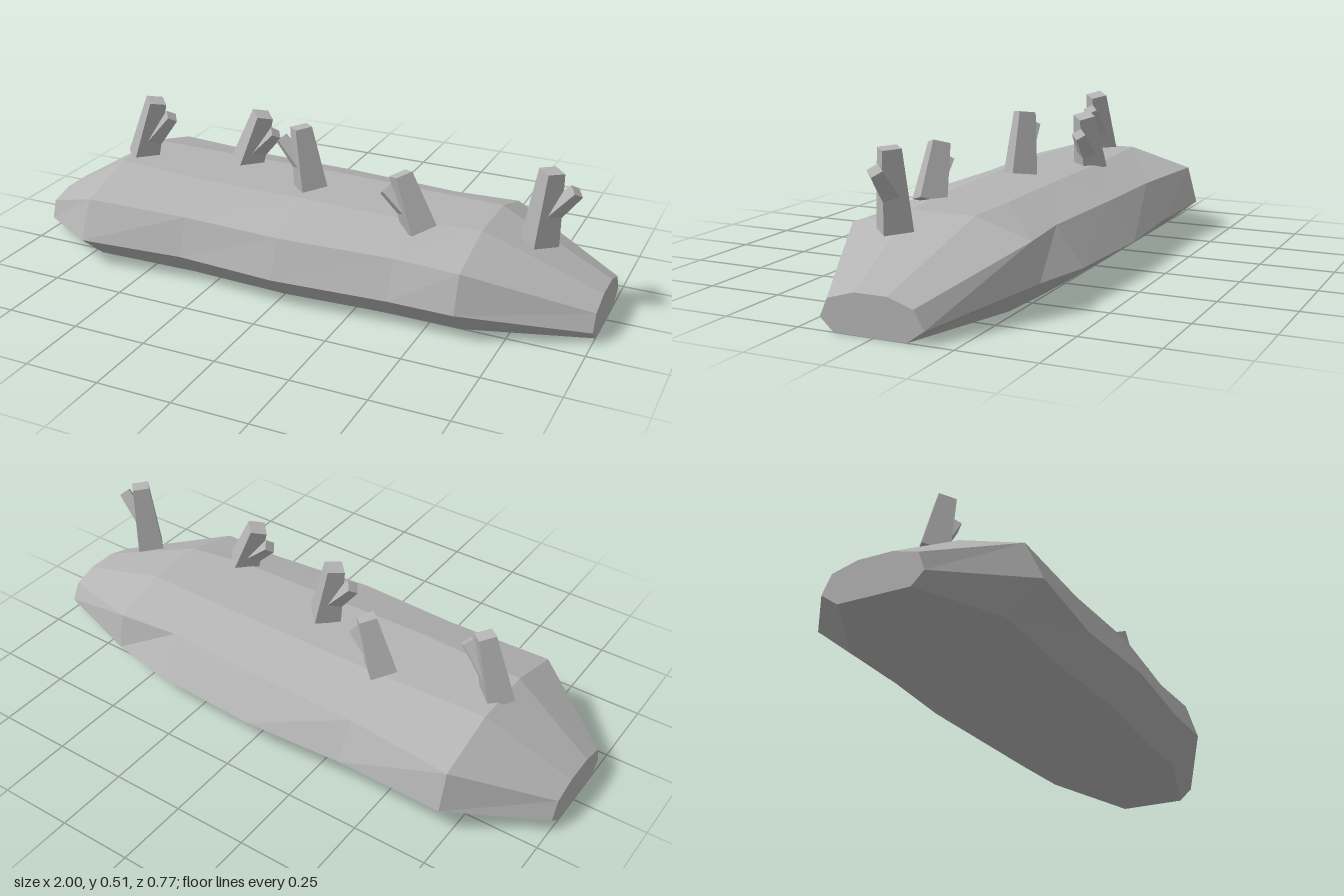
import * as THREE from 'three';

export function createModel() {
  const model = new THREE.Group();
  const stone = new THREE.MeshStandardMaterial({ color: 0xb4b4b4, flatShading: true });
  stone.name = 'grey stone';

  // Rock slab: x, heights (side, shoulder, top), front z and back z (bottom, side, shoulder, top)
  const sections = [
    [-1, [0.04, 0.1, 0.123], [0.13, 0.17, 0.15, 0.065], [-0.105, -0.16, -0.13, -0.045]],
    [-0.72, [0.097, 0.226, 0.29], [0.27, 0.385, 0.325, 0.11], [-0.25, -0.375, -0.34, -0.115]],
    [-0.35, [0.097, 0.226, 0.286], [0.26, 0.355, 0.315, 0.135], [-0.25, -0.37, -0.305, -0.125]],
    [0, [0.097, 0.226, 0.286], [0.275, 0.378, 0.33, 0.13], [-0.25, -0.39, -0.3, -0.125]],
    [0.39, [0.096, 0.222, 0.28], [0.25, 0.35, 0.3, 0.13], [-0.24, -0.37, -0.28, -0.12]],
    [0.61, [0.096, 0.22, 0.278], [0.25, 0.35, 0.31, 0.1], [-0.225, -0.325, -0.3, -0.115]],
    [1, [0.04, 0.097, 0.123], [0.13, 0.175, 0.15, 0.062], [-0.105, -0.16, -0.127, -0.045]],
  ];
  const positions = [];
  const index = [];
  for (const [x, heights, front, back] of sections) {
    const ys = [0, ...heights];
    for (let j = 0; j < 4; j++) positions.push(x, ys[j], front[j]);
    for (let j = 3; j >= 0; j--) positions.push(x, ys[j], back[j]);
  }
  const n = 8;
  const last = (sections.length - 1) * n;
  for (let i = 0; i < last; i += n) {
    for (let j = 0; j < n; j++) {
      const k = (j + 1) % n;
      index.push(i + j, i + n + j, i + n + k, i + j, i + n + k, i + k);
    }
  }
  for (let j = 1; j < n - 1; j++) {
    index.push(0, j, j + 1, last, last + j + 1, last + j);
  }
  const slab = new THREE.BufferGeometry();
  slab.setAttribute('position', new THREE.Float32BufferAttribute(positions, 3));
  slab.setIndex(index);
  const slabFlat = slab.toNonIndexed();
  slabFlat.computeVertexNormals();
  const rock = new THREE.Mesh(slabFlat, stone);
  rock.name = 'rockSlab';
  model.add(rock);

  // Tapered four-sided shard between two points
  const up = new THREE.Vector3(0, 1, 0);
  function shard(name, from, to, z, rBase, rTip) {
    const a = new THREE.Vector3(...from, z);
    const b = new THREE.Vector3(...to, z);
    const axis = b.clone().sub(a);
    const mesh = new THREE.Mesh(new THREE.CylinderGeometry(rTip, rBase, axis.length(), 4), stone);
    mesh.position.copy(a).add(b).multiplyScalar(0.5);
    mesh.quaternion.setFromUnitVectors(up, axis.normalize());
    mesh.name = name;
    return mesh;
  }

  // Crystals: z, main base and tip, side shard base and tip
  const crystals = [
    [0.005, [-0.7, 0.272], [-0.635, 0.495], [-0.655, 0.35], [-0.575, 0.445]],
    [-0.097, [-0.33, 0.28], [-0.267, 0.466], [-0.3, 0.32], [-0.218, 0.405]],
    [0.035, [-0.02, 0.29], [-0.055, 0.498], [-0.045, 0.355], [-0.128, 0.448]],
    [0.147, [0.415, 0.265], [0.348, 0.442], [0.385, 0.31], [0.297, 0.383]],
    [0.055, [0.783, 0.255], [0.806, 0.498], [0.803, 0.35], [0.887, 0.445]],
  ];
  crystals.forEach(([z, base, tip, sideBase, sideTip], i) => {
    const group = new THREE.Group();
    group.name = 'crystal' + (i + 1);
    group.add(shard('mainShard', base, tip, z, 0.063, 0.041));
    group.add(shard('sideShard', sideBase, sideTip, z, 0.036, 0.026));
    model.add(group);
  });

  return model;
}
